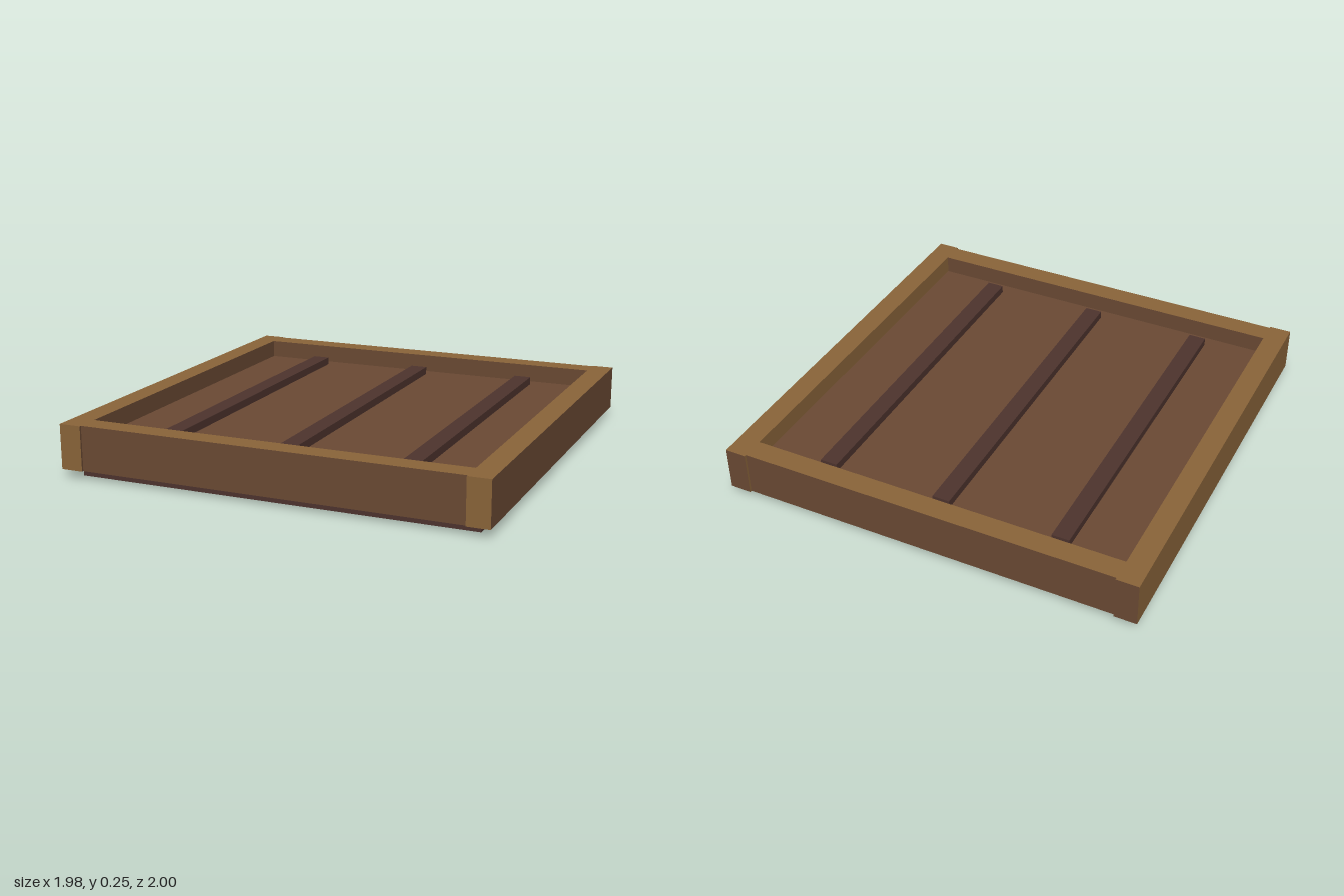
import * as THREE from 'three';

export function createModel() {
  const model = new THREE.Group();
  model.name = 'woodenTray';

  const material = (name, color) => {
    const m = new THREE.MeshStandardMaterial({ color });
    m.name = name;
    return m;
  };
  const tan = material('tanWood', 0x8b653a);
  const brown = material('brownWood', 0x6b4a34);
  const dark = material('darkWood', 0x4e342e);

  // Box from its minimum and maximum corners; face materials run +x, -x, +y, -y, +z, -z
  function box(name, min, max, materials) {
    const size = max.map((v, i) => v - min[i]);
    const mesh = new THREE.Mesh(new THREE.BoxGeometry(...size), materials);
    mesh.position.set(...max.map((v, i) => (v + min[i]) / 2));
    mesh.name = name;
    model.add(mesh);
  }

  const inner = 0.887, outer = 0.99, bottom = 0.043, top = 0.25;
  const floor = 0.165;

  // Dark base, slightly inset below the frame
  box('base', [-0.928, 0, -0.928], [0.928, bottom, 0.928], dark);

  // Brown floor panel inside the frame
  box('floorPanel', [-inner, bottom, -inner], [inner, floor, inner], brown);

  // Frame: long side rails, with front and back rails between them
  const sideFaces = [brown, tan, tan, brown, tan, brown];
  const crossFaces = [brown, brown, tan, brown, brown, brown];
  box('leftRail', [inner, bottom, -1], [outer, top, 1], sideFaces);
  box('rightRail', [-outer, bottom, -1], [-inner, top, 1], sideFaces);
  box('frontRail', [-inner, bottom, inner], [inner, top, outer], crossFaces);
  box('backRail', [-inner, bottom, -outer], [inner, top, -inner], crossFaces);

  // Three raised slats on the floor
  for (const x of [-0.567, 0, 0.567]) {
    box('slat', [x - 0.041, floor, -0.825], [x + 0.041, floor + 0.037, 0.825], dark);
  }

  return model;
}
